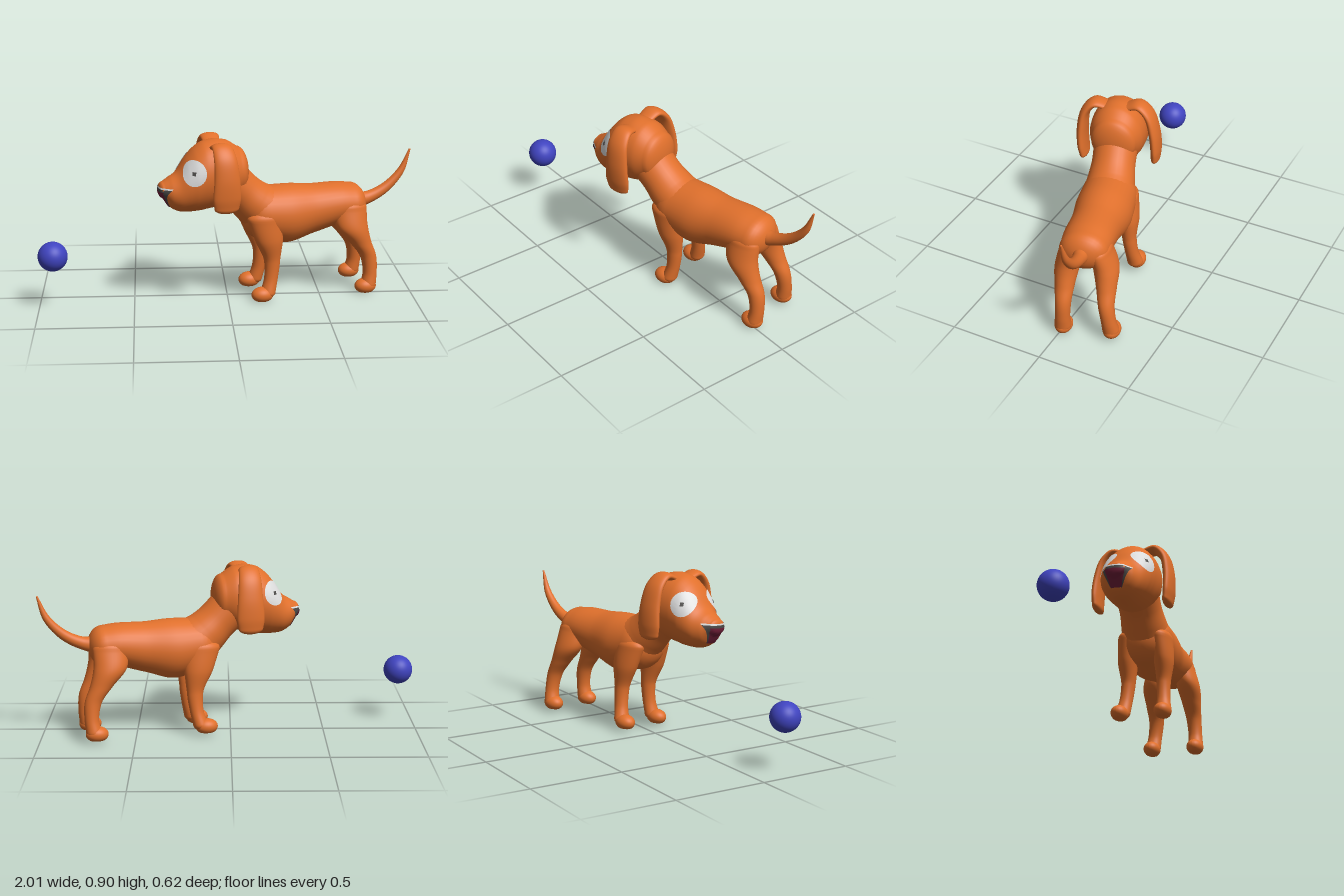
import * as THREE from 'three';

const mat = (name, color) => new THREE.MeshStandardMaterial({ name, color });
const V = (x, y, z) => new THREE.Vector3(x, y, z);

// Smooth tube of elliptical rings: each row is [x, y, z, radiusA, radiusB].
// side is the direction of radiusA; axis, if given, keeps all rings parallel.
function loft(rows, { side, axis, caps = [0.8, 0.8], steps = 36, sides = 32 }) {
  const path = new THREE.CatmullRomCurve3(rows.map(r => V(r[0], r[1], r[2])));
  const radii = new THREE.CatmullRomCurve3(rows.map(r => V(r[3], r[4], 0)));
  const rings = [];
  const add = (u, push, shrink) => {
    const t = axis ? axis.clone() : path.getTangent(u);
    const r = radii.getPoint(u);
    const a = side.clone().addScaledVector(t, -side.dot(t)).normalize();
    const b = t.clone().cross(a);
    const c = path.getPoint(u).addScaledVector(t, push * Math.min(r.x, r.y));
    rings.push({ c, a: a.multiplyScalar(r.x * shrink), b: b.multiplyScalar(r.y * shrink) });
  };
  const n = 8, q = Math.PI / 2 / n;
  for (let k = n; k > 0; k--) add(0, -caps[0] * Math.sin(k * q), Math.cos(k * q));
  for (let i = 0; i <= steps; i++) add(i / steps, 0, 1);
  for (let k = 1; k <= n; k++) add(1, caps[1] * Math.sin(k * q), Math.cos(k * q));

  const pos = [], idx = [];
  rings.forEach(({ c, a, b }, i) => {
    for (let j = 0; j < sides; j++) {
      const w = j / sides * Math.PI * 2;
      const p = c.clone().addScaledVector(a, Math.cos(w)).addScaledVector(b, Math.sin(w));
      pos.push(p.x, p.y, p.z);
      if (i === rings.length - 1) continue;
      const k = (j + 1) % sides, o = i * sides, m = o + sides;
      idx.push(o + j, o + k, m + j, o + k, m + k, m + j);
    }
  });
  const g = new THREE.BufferGeometry();
  g.setAttribute('position', new THREE.Float32BufferAttribute(pos, 3));
  g.setIndex(idx);
  g.computeVertexNormals();
  return g;
}

// Lays a flat shape onto a surface, looking from one point towards another.
function decal(geo, surface, from, to, lift) {
  const m = new THREE.Matrix4().lookAt(from, to, V(0, 1, 0)).setPosition(from);
  const dir = to.clone().sub(from).normalize();
  const ray = new THREE.Raycaster();
  ray.far = from.distanceTo(to) + 0.09;
  const p = geo.attributes.position;
  for (let i = 0; i < p.count; i++) {
    const v = V().fromBufferAttribute(p, i);
    let hit;
    for (let k = 0; k < 40 && !hit; k++) {
      ray.set(v.clone().applyMatrix4(m), dir);
      hit = ray.intersectObject(surface)[0];
      if (!hit) v.multiplyScalar(0.95);
    }
    const q = hit ? hit.point.addScaledVector(hit.face.normal, lift) : to;
    p.setXYZ(i, q.x, q.y, q.z);
  }
  geo.computeVertexNormals();
  return geo;
}

export function createModel() {
  const fur = mat('orange fur', 0xe0702c);
  const white = mat('white', 0xdedede);
  const dark = mat('dark grey', 0x4c4a48);
  const maroon = mat('maroon', 0x74203a);
  const blue = mat('blue', 0x4044c0);
  for (const m of [white, dark, maroon]) m.side = THREE.DoubleSide;

  const model = new THREE.Group();
  const dog = new THREE.Group();
  dog.name = 'dog';
  const put = (name, geo, material, parent = dog) => {
    const mesh = new THREE.Mesh(geo, material);
    mesh.name = name;
    parent.add(mesh);
    return mesh;
  };
  const X = V(1, 0, 0), Z = V(0, 0, 1), down = V(0, -1, 0);

  // Torso, neck and tail
  put('torso', loft([
    [0.17, 0.465, 0, 0.145, 0.145], [0.30, 0.452, 0, 0.15, 0.16],
    [0.45, 0.467, 0, 0.132, 0.135], [0.60, 0.488, 0, 0.13, 0.114],
    [0.675, 0.488, 0, 0.125, 0.106],
  ], { side: Z, axis: X, caps: [0.8, 0.75] }), fur);
  put('neck', loft([
    [-0.06, 0.70, 0, 0.12, 0.12], [0.05, 0.595, 0, 0.115, 0.11],
    [0.12, 0.53, 0, 0.125, 0.12], [0.21, 0.46, 0, 0.14, 0.15],
  ], { side: Z }), fur);
  put('tail', loft([
    [0.68, 0.49, 0, 0.05, 0.055], [0.78, 0.505, 0, 0.034, 0.034],
    [0.88, 0.555, 0, 0.027, 0.027], [0.965, 0.645, 0, 0.019, 0.019],
    [1.01, 0.76, 0, 0.005, 0.005],
  ], { side: Z }), fur);

  // Head: x, top, bottom, half width
  const head = put('head', loft([
    [-0.372, 0.672, 0.59, 0.055], [-0.335, 0.695, 0.535, 0.085],
    [-0.295, 0.722, 0.512, 0.105], [-0.25, 0.79, 0.505, 0.125],
    [-0.21, 0.838, 0.505, 0.138], [-0.16, 0.873, 0.51, 0.145],
    [-0.10, 0.885, 0.52, 0.148], [-0.03, 0.875, 0.54, 0.143],
    [0.03, 0.838, 0.58, 0.12],
  ].map(([x, t, b, w]) => [x, (t + b) / 2, 0, w, (t - b) / 2]),
  { side: Z, axis: X, caps: [0.55, 0.45], steps: 48, sides: 48 }), fur);

  // Mouth on the front of the muzzle
  const mouth = (name, material, y, h, top, bottom, lift) => {
    const g = new THREE.PlaneGeometry(1, h, 14, 10), p = g.attributes.position;
    for (let i = 0; i < p.count; i++) {
      const k = p.getY(i) / h + 0.5;
      p.setX(i, p.getX(i) * 2 * (bottom + (top - bottom) * k));
    }
    put(name, decal(g, head, V(-0.7, y, 0), V(-0.37, y, 0), lift), material);
  };
  mouth('mouth', dark, 0.592, 0.1, 0.078, 0.03, 0.002);
  mouth('tongue', maroon, 0.585, 0.085, 0.052, 0.028, 0.004);
  mouth('teeth', white, 0.645, 0.008, 0.079, 0.078, 0.003);

  const legs = new THREE.Group();
  legs.name = 'legs';
  legs.position.y = 0.008;
  dog.add(legs);

  for (const s of [1, -1]) {
    const tag = s > 0 ? 'left' : 'right';
    const mirror = rows => rows.map(([x, y, z, a, b]) => [x, y, z * s, a, b]);

    // Eyes
    const from = V(-0.435, 0.735, s * 0.7), to = V(-0.225, 0.735, s * 0.1);
    put(tag + 'Eye', decal(new THREE.RingGeometry(0, 0.063, 32, 8), head, from, to, 0.003), white);
    put(tag + 'Pupil', decal(new THREE.PlaneGeometry(0.018, 0.018, 2, 2), head, from, to, 0.006), dark);

    // Hanging ears
    put(tag + 'Ear', loft(mirror([
      [-0.095, 0.855, 0.06, 0.045, 0.018], [-0.09, 0.868, 0.12, 0.052, 0.022],
      [-0.085, 0.82, 0.17, 0.06, 0.025], [-0.08, 0.72, 0.195, 0.068, 0.028],
      [-0.08, 0.62, 0.2, 0.074, 0.027], [-0.08, 0.565, 0.196, 0.066, 0.024],
    ]), { side: X, caps: [0.8, 1.2] }), fur);

    // Legs
    put(tag + 'FrontLeg', loft(mirror([
      [0.165, 0.45, 0.09, 0.10, 0.06], [0.185, 0.33, 0.102, 0.076, 0.052],
      [0.205, 0.22, 0.10, 0.044, 0.038], [0.2, 0.12, 0.106, 0.037, 0.036],
      [0.182, 0.045, 0.116, 0.04, 0.043],
    ]), { side: X, axis: down }), fur, legs);
    put(tag + 'HindLeg', loft(mirror([
      [0.645, 0.47, 0.075, 0.095, 0.06], [0.655, 0.37, 0.1, 0.088, 0.064],
      [0.705, 0.28, 0.108, 0.06, 0.052], [0.75, 0.2, 0.112, 0.045, 0.042],
      [0.762, 0.11, 0.12, 0.038, 0.039], [0.753, 0.045, 0.126, 0.042, 0.044],
    ]), { side: X, axis: down }), fur, legs);

    // Paws, flattened underneath
    for (const [name, x, z] of [['FrontPaw', 0.15, 0.12], ['HindPaw', 0.737, 0.127]]) {
      const g = new THREE.SphereGeometry(1, 32, 20).scale(0.06, 0.042, 0.047).translate(x, 0.033, z * s);
      const p = g.attributes.position;
      for (let i = 0; i < p.count; i++) p.setY(i, Math.max(0, p.getY(i)));
      g.computeVertexNormals();
      put(tag + name, g, fur, legs);
    }
  }

  // The dog stands turned a little and leaning slightly to one side
  dog.rotation.set(0.06, 0.23, 0, 'YXZ');
  dog.position.set(0.008, 0.002, 0.035);
  model.add(dog);

  // Ball
  put('ball', new THREE.SphereGeometry(0.078, 48, 32), blue, model).position.set(-0.922, 0.284, 0.177);
  return model;
}
